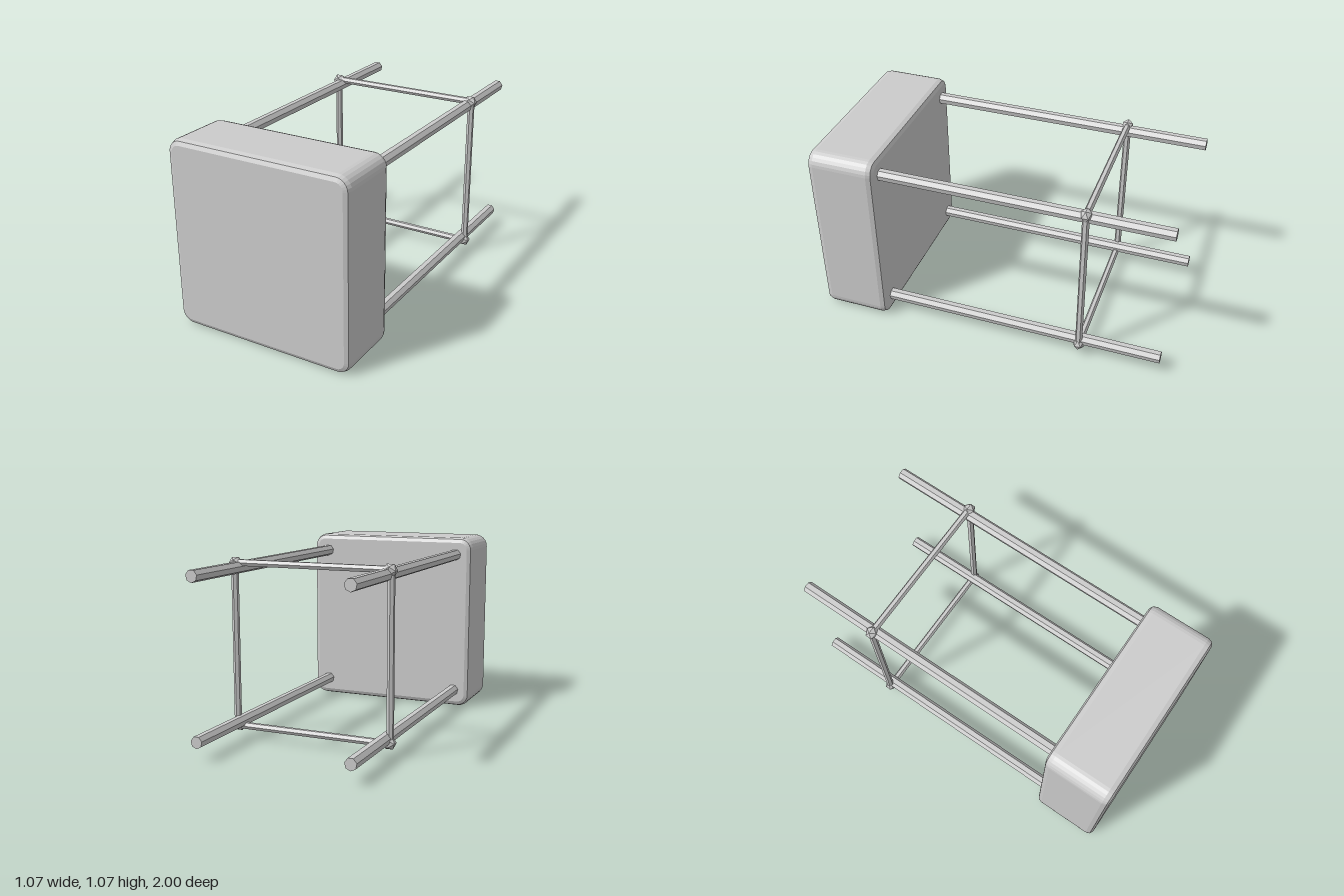
import * as THREE from 'three';

const material = new THREE.MeshStandardMaterial({ color: 0xcccccc, flatShading: true });
const MID_Y = 0.533; // height of the stool's axis, as it lies on its side

function add(parent, name, geometry, x, y, z) {
  const mesh = new THREE.Mesh(geometry, material);
  mesh.name = name;
  mesh.position.set(x, y, z);
  parent.add(mesh);
  return mesh;
}

// Square with cut, slightly rounded corners
function roundedSquare(half, r) {
  const s = new THREE.Shape();
  [0, 1, 2, 3].forEach((i) => {
    const a = (i * Math.PI) / 2;
    const sx = i === 0 || i === 3 ? 1 : -1;
    const sy = i < 2 ? 1 : -1;
    s.absarc(sx * (half - r), sy * (half - r), r, a, a + Math.PI / 2, false);
  });
  s.closePath();
  return s;
}

export function createModel() {
  const model = new THREE.Group();
  model.name = 'stool';

  // Thick cushion-like seat with bevelled rims, facing +z
  const bevelZ = 0.035, bevel = 0.03, back = 0.614, front = 1;
  const seat = new THREE.ExtrudeGeometry(roundedSquare(MID_Y - bevel, 0.045), {
    depth: front - back - 2 * bevelZ, curveSegments: 3,
    bevelEnabled: true, bevelThickness: bevelZ, bevelSize: bevel, bevelSegments: 2,
  });
  add(model, 'seat', seat, 0, MID_Y, back + bevelZ);

  // Four straight legs running back from the seat
  const legs = new THREE.Group();
  legs.name = 'legs';
  model.add(legs);
  const legGeometry = new THREE.CylinderGeometry(0.034, 0.034, 1.64, 7).rotateX(Math.PI / 2);

  // Square ring of thin rungs with a faceted joint at each leg
  const ring = new THREE.Group();
  ring.name = 'footRing';
  ring.position.set(0, MID_Y, -0.54);
  model.add(ring);
  const reach = 0.455;
  const rungGeometry = new THREE.CylinderGeometry(0.02, 0.02, 2 * reach, 6);
  const jointGeometry = new THREE.IcosahedronGeometry(0.04, 0).scale(1, 1, 0.85);

  for (const sx of [-1, 1]) {
    for (const sy of [-1, 1]) {
      add(legs, 'leg', legGeometry, sx * 0.432, MID_Y + sy * 0.429, -0.18);
      add(ring, 'ringJoint', jointGeometry, sx * 0.45, sy * 0.45, 0);
    }
    add(ring, 'sideRung', rungGeometry, sx * reach, 0, 0);
    add(ring, 'crossRung', rungGeometry, 0, sx * reach, 0).rotation.z = Math.PI / 2;
  }
  return model;
}
